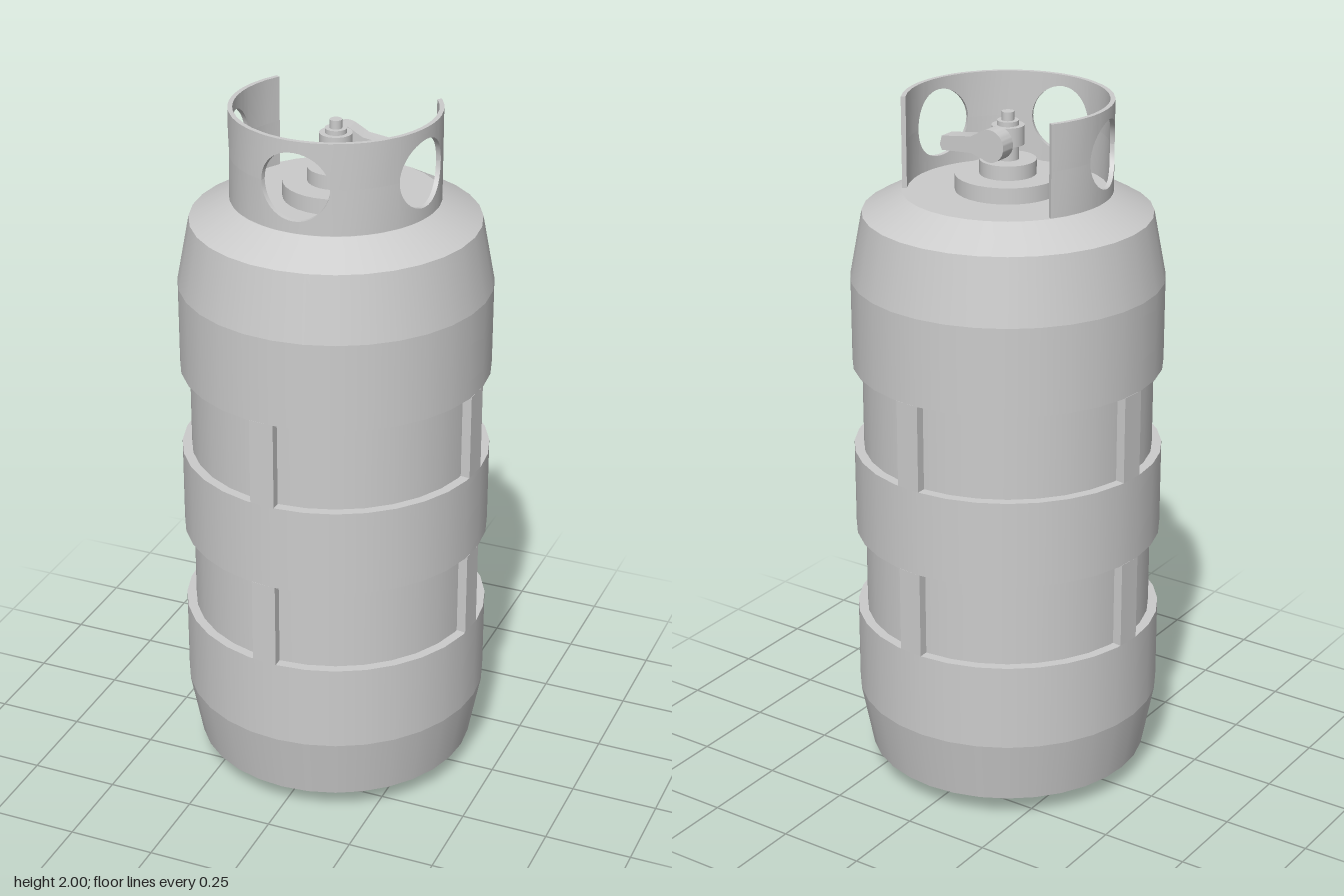
import * as THREE from 'three';
import { mergeGeometries, toCreasedNormals } from 'three/addons/utils/BufferGeometryUtils.js';

const material = new THREE.MeshStandardMaterial({ color: 0xcccccc });
const rad = THREE.MathUtils.degToRad;

function part(name, geometry) {
  const mesh = new THREE.Mesh(geometry, material);
  mesh.name = name;
  return mesh;
}

// Turned solid: each profile step is its own band, smooth around and sharp between bands
function turned(name, profile, sides = 32) {
  const bands = [];
  for (let i = 0; i < profile.length - 1; i++) {
    const pair = [profile[i], profile[i + 1]].map(([r, y]) => new THREE.Vector2(r, y));
    bands.push(new THREE.LatheGeometry(pair, sides));
  }
  return part(name, mergeGeometries(bands));
}

// Curved wall of rectangular section; angles run from +z towards +x
function curvedWall(name, angles, inner, outer, low, high) {
  const pos = [], index = [];
  for (const a of angles) {
    for (const [r, y] of [[inner, low(a)], [outer, low(a)], [outer, high(a)], [inner, high(a)]]) {
      pos.push(r * Math.sin(a), y, r * Math.cos(a));
    }
  }
  const quad = (a, b, c, d) => index.push(a, b, c, a, c, d);
  const last = (angles.length - 1) * 4;
  for (let i = 0; i < last; i += 4) {
    for (let k = 0; k < 4; k++) {
      const n = (k + 1) % 4;
      quad(i + k, i + 4 + k, i + 4 + n, i + n);
    }
  }
  quad(0, 1, 2, 3);
  quad(last + 3, last + 2, last + 1, last);
  const geometry = new THREE.BufferGeometry();
  geometry.setAttribute('position', new THREE.Float32BufferAttribute(pos, 3));
  geometry.setIndex(index);
  return part(name, toCreasedNormals(geometry, 0.5));
}

// Tank shell with two recessed belts
const R = 0.435, RECESS = 0.408;
const belts = [[0.5, 0.75], [1.0, 1.25]];

function createTank() {
  const tank = new THREE.Group();
  tank.name = 'tank';
  const profile = [[0, 0], [0.29, 0], [0.4, 0.065], [R, 0.25]];
  for (const [y0, y1] of belts) {
    profile.push([R, y0], [RECESS, y0], [RECESS, y1], [R, y1]);
  }
  profile.push([R, 1.5], [0.4, 1.685], [0.29, 1.745], [0, 1.745]);
  tank.add(turned('shell', profile));

  // Four upright ribs split each belt into windows
  for (const [y0, y1] of belts) {
    for (let k = 0; k < 4; k++) {
      const angles = [-9.5, 0].map(d => rad(d + 90 * k));
      tank.add(curvedWall('beltRib', angles, RECESS - 0.01, R, () => y0, () => y1));
    }
  }
  return tank;
}

// Guard collar, open at the back, with three round hand holes
function createCollar() {
  const collar = new THREE.Group();
  collar.name = 'guardCollar';
  const holes = [-77.5, 0, 77.5].map(rad);
  const holeRadius = 0.095, holeY = 1.873, inner = 0.275, outer = 0.288;
  const middle = (inner + outer) / 2;
  const halfHole = h => {
    const offset = a => (Math.cos(a - h) > 0 ? middle * Math.sin(a - h) : 1);
    return a => Math.sqrt(Math.max(0, holeRadius ** 2 - offset(a) ** 2));
  };
  const openings = holes.map(halfHole);
  const gap = a => Math.max(...openings.map(f => f(a)));

  const angles = [30, 39, 48, 105, 114, 123].flatMap(d => [rad(d), rad(-d)]);
  const steps = 20;
  for (const h of holes) {
    for (let i = 0; i <= steps; i++) {
      angles.push(h + Math.asin(-holeRadius * Math.cos(Math.PI * i / steps) / middle));
    }
  }
  angles.sort((a, b) => a - b);
  collar.add(
    curvedWall('collarLower', angles, inner, outer, () => 1.74, a => holeY - gap(a)),
    curvedWall('collarUpper', angles, inner, outer, a => holeY + gap(a), () => 2),
  );
  return collar;
}

// Valve with stepped base, stem, nut and a tapered lever behind it
function createValve() {
  const valve = new THREE.Group();
  valve.name = 'valve';
  valve.add(
    turned('valveBase', [[0.145, 1.74], [0.145, 1.79], [0.078, 1.79], [0.078, 1.83], [0, 1.83]]),
    turned('valveStem', [[0.03, 1.83], [0.03, 1.872], [0.045, 1.872], [0.045, 1.925], [0.03, 1.925],
      [0.03, 1.938], [0.017, 1.938], [0.017, 1.962], [0, 1.962]], 24),
  );

  const outline = new THREE.Shape();
  outline.absarc(0, 0, 0.045, rad(60), rad(300), false);
  outline.lineTo(0.06, -0.028);
  outline.lineTo(0.155, -0.035);
  outline.lineTo(0.162, -0.02);
  outline.lineTo(0.155, 0.005);
  outline.lineTo(0.06, 0.018);
  outline.closePath();
  const geometry = new THREE.ExtrudeGeometry(outline, { depth: 0.047, bevelEnabled: false, curveSegments: 16 });
  const lever = part('valveLever', toCreasedNormals(geometry, 0.5));
  lever.position.set(0, 1.885, -0.09);
  valve.add(lever);

  // Short spindle joins lever and stem
  const spindle = part('leverSpindle', new THREE.CylinderGeometry(0.02, 0.02, 0.06, 16).rotateX(Math.PI / 2));
  spindle.position.set(0, 1.885, -0.03);
  valve.add(spindle);
  return valve;
}

export function createModel() {
  const model = new THREE.Group();
  model.name = 'gasCylinder';
  model.add(createTank(), createCollar(), createValve());
  return model;
}
